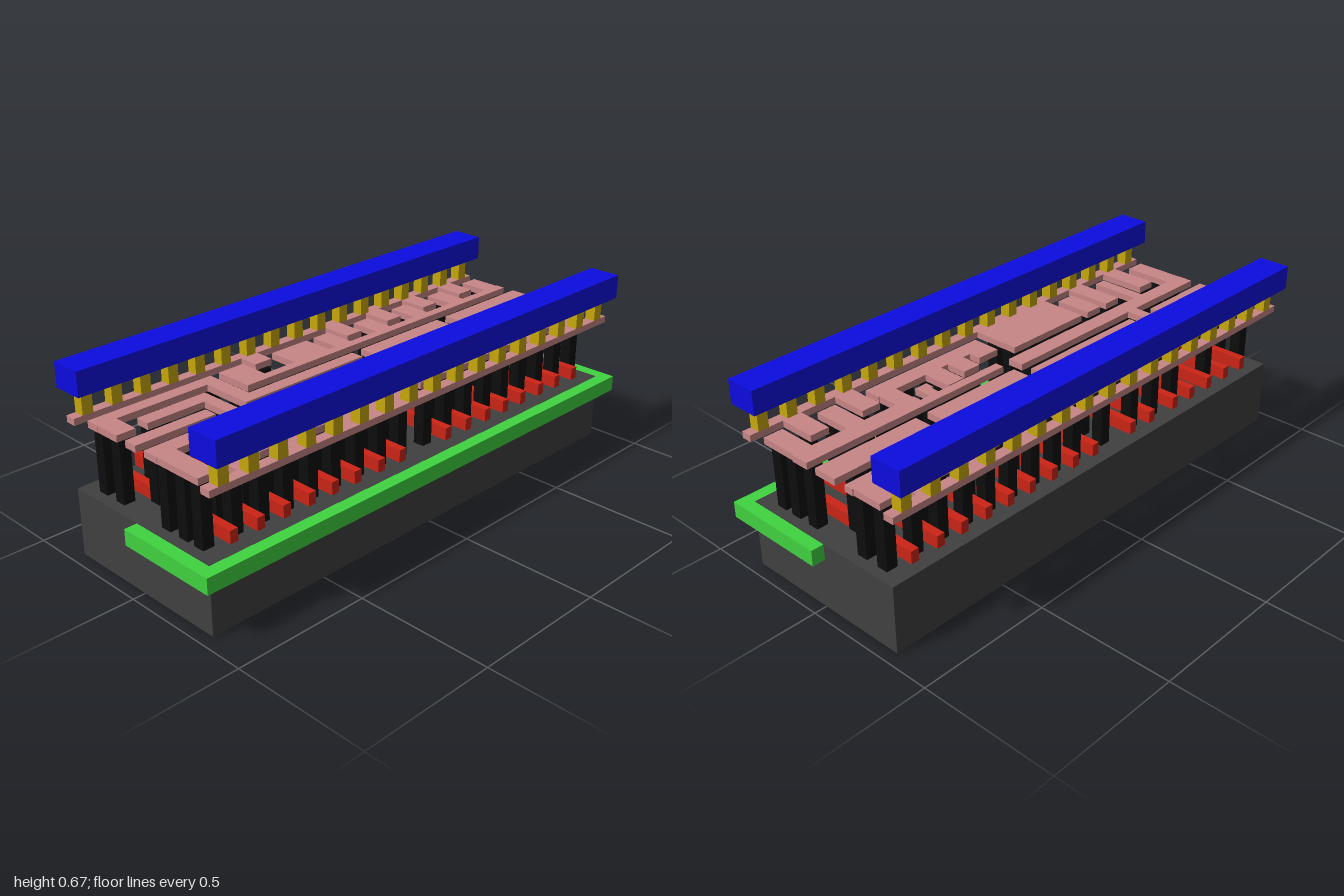
import * as THREE from 'three';

const paint = (color) => new THREE.MeshStandardMaterial({ color, flatShading: true });
const MAT = {
  base: paint(0x404040), well: paint(0x40d340), gate: paint(0xcc2416), contact: paint(0x0d0d0d),
  wire: paint(0xc88686), via: paint(0xc8a80c), rail: paint(0x0c0ce0),
};

// Box given by its limits on each axis
function slab(parent, name, mat, x0, x1, y0, y1, z0, z1) {
  const mesh = new THREE.Mesh(new THREE.BoxGeometry(x1 - x0, y1 - y0, z1 - z0), mat);
  mesh.position.set((x0 + x1) / 2, (y0 + y1) / 2, (z0 + z1) / 2);
  mesh.name = name;
  parent.add(mesh);
}

function layer(root, name) {
  const group = new THREE.Group();
  group.name = name;
  root.add(group);
  return group;
}

export function createModel() {
  const root = new THREE.Group();
  root.name = 'layeredCircuitCell';

  // Substrate block and the well sunk flush into it
  slab(root, 'substrate', MAT.base, -0.33, 0.33, 0, 0.245, -0.953, 0.953);
  slab(root, 'well', MAT.well, -0.015, 0.377, 0.187, 0.2445, -1, 1);

  const gates = layer(root, 'gates');
  const wires = layer(root, 'wires');
  const contacts = layer(root, 'contacts');
  const rails = layer(root, 'powerRails');

  // Gate strips: full width, then those only on the left or right half
  const gate = (x0, x1, z) => slab(gates, 'gateStrip', MAT.gate, x0, x1, 0.262, 0.307, z - 0.015, z + 0.015);
  for (const z of [-0.84, -0.735, -0.635, -0.53, -0.43, -0.33, -0.225, -0.12, 0.42, 0.52, 0.625, 0.73, 0.835])
    gate(-0.305, 0.305, z);
  for (const z of [-0.02, 0.18, 0.285]) gate(-0.305, -0.04, z);
  for (const z of [0.11, 0.21, 0.32]) gate(-0.06, 0.305, z);

  const wire = (x0, x1, z0, z1) => slab(wires, 'wire', MAT.wire, x0, x1, 0.473, 0.497, z0, z1);
  const contact = (x, z, y0 = 0.245) =>
    slab(contacts, 'contact', MAT.contact, x - 0.021, x + 0.021, y0, 0.474, z - 0.021, z + 0.021);
  const pad = (x0, x1, z, xs) => {
    wire(x0, x1, z - 0.036, z + 0.036);
    xs.forEach((x) => contact(x, z));
  };

  // Power rails: upper beam, row of vias, lower strip
  for (const s of [-1, 1]) {
    slab(rails, 'railBeam', MAT.rail, s * 0.331 - 0.059, s * 0.331 + 0.059, 0.58, 0.668, -0.953, 0.953);
    slab(rails, 'railStrip', MAT.wire, s * 0.33 - 0.02, s * 0.33 + 0.02, 0.473, 0.497, -0.953, 0.953);
    for (let i = 0; i < 17; i++) {
      const z = -0.9 + i * 0.1125;
      slab(rails, 'railVia', MAT.via, s * 0.33 - 0.02, s * 0.33 + 0.02, 0.497, 0.58, z - 0.02, z + 0.02);
    }
  }

  // Left comb: spine, signal fingers and the power fingers between them
  wire(-0.155, -0.12, -0.935, 0.405);
  for (const z of [-0.895, -0.685, -0.48, -0.275, -0.07]) pad(-0.27, -0.12, z, [-0.242, -0.153]);
  for (const z of [-0.79, -0.58, -0.38, -0.17]) pad(-0.32, -0.198, z, [-0.242]);
  wire(-0.27, -0.12, 0, 0.165);
  wire(-0.27, -0.12, 0.3, 0.405);
  for (const z of [0.08, 0.35]) [-0.242, -0.153].forEach((x) => contact(x, z));
  pad(-0.32, -0.235, 0.235, [-0.242]);

  // Left front hook joined to the centre wire, and the inner bracket
  wire(-0.27, -0.22, 0.44, 0.93);
  wire(-0.27, -0.024, 0.44, 0.495);
  pad(-0.27, -0.12, 0.893, [-0.242, -0.153]);
  wire(-0.177, -0.123, 0.54, 0.81);
  wire(-0.177, 0.05, 0.54, 0.585);
  [0.465, 0.67].forEach((z) => contact(-0.242, z));
  [0.57, 0.78].forEach((z) => contact(-0.153, z));

  // Centre wires with short contacts down to the gates
  wire(-0.075, 0.015, -0.935, -0.53);
  wire(-0.075, 0.015, -0.48, -0.08);
  wire(-0.075, -0.024, -0.035, 0.495);
  wire(-0.075, -0.024, 0.62, 0.93);
  for (const z of [-0.84, -0.735, -0.635, -0.43, -0.33, -0.225, -0.12, -0.02, 0.18, 0.285, 0.42, 0.73, 0.835])
    contact(-0.05, z, 0.262);

  // Right rear comb
  wire(0.055, 0.125, -0.935, -0.44);
  wire(0.055, 0.09, -0.44, -0.09);
  for (const z of [-0.895, -0.685, -0.48]) pad(0.055, 0.27, z, [0.08, 0.163, 0.235]);
  for (const z of [-0.79, -0.58]) pad(0.172, 0.32, z, [0.235]);

  // Right middle: power column and small stepped wire
  wire(0.205, 0.27, -0.52, -0.01);
  wire(0.055, 0.16, -0.4, -0.36);
  wire(0.125, 0.16, -0.4, -0.35);
  pad(0.095, 0.205, -0.275, [0.163, 0.235]);
  pad(0.125, 0.205, -0.17, [0.163, 0.235]);
  wire(0.16, 0.27, -0.1, -0.01);
  [-0.38, -0.065].forEach((z) => contact(0.235, z));

  // Right front: long wire, block, and fingers
  wire(0.018, 0.08, -0.035, 0.93);
  wire(0.125, 0.32, 0.04, 0.4);
  for (const z of [0.06, 0.16, 0.265, 0.37]) [0.163, 0.235].forEach((x) => contact(x, z));
  pad(0.125, 0.27, 0.47, [0.163, 0.235]);
  pad(0.125, 0.32, 0.575, [0.163, 0.235]);
  wire(0.018, 0.27, 0.652, 0.698);
  [0.163, 0.235].forEach((x) => contact(x, 0.675));
  pad(0.125, 0.32, 0.78, [0.163, 0.235]);
  pad(0.018, 0.27, 0.893, [0.08, 0.163, 0.235]);

  return root;
}
